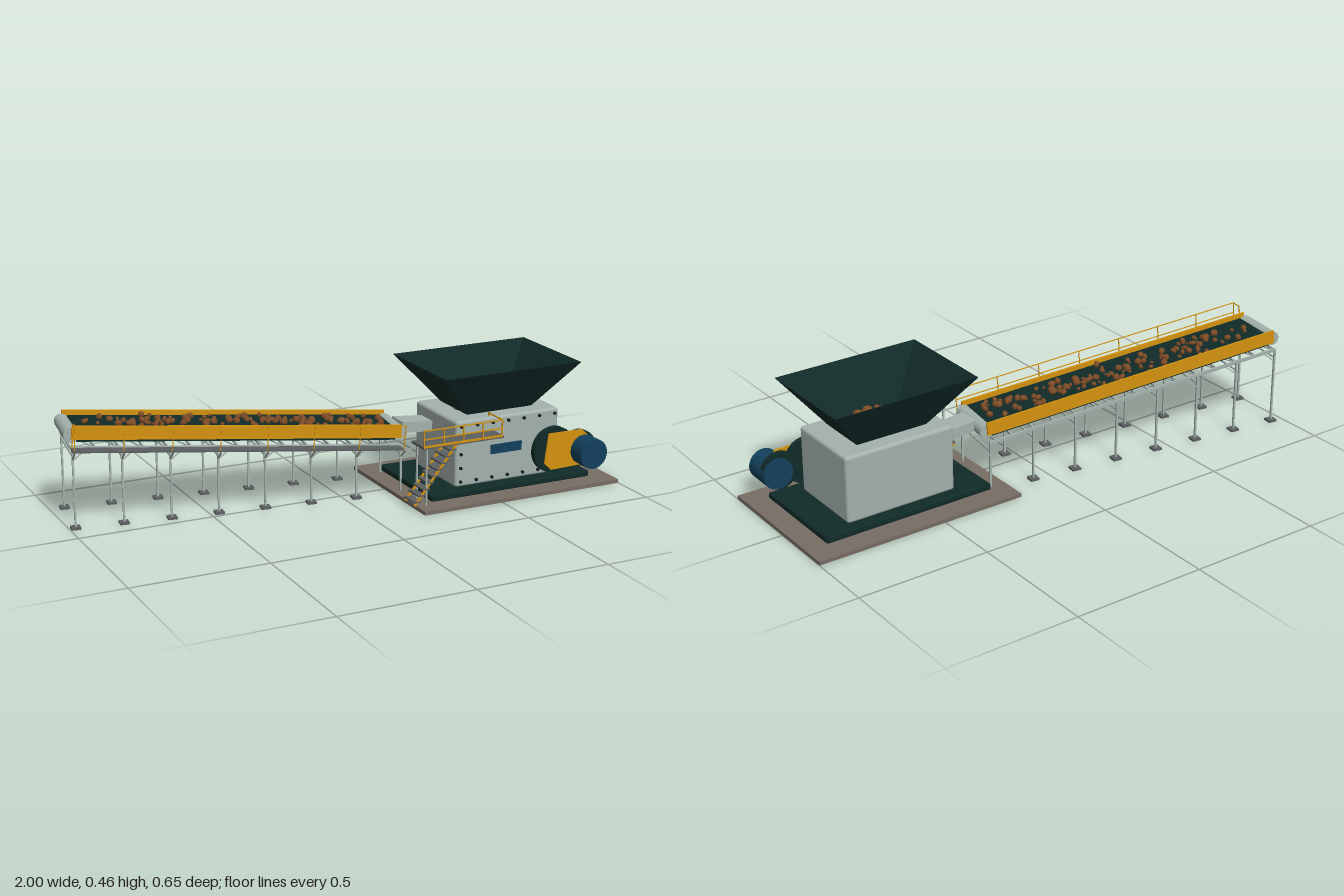
import * as THREE from 'three';
import { RoundedBoxGeometry } from 'three/addons/geometries/RoundedBoxGeometry.js';

export function createModel() {
  const root = new THREE.Group();
  root.name = 'crusherWithConveyor';
  const paint = (name, color, extra = {}) => {
    const m = new THREE.MeshStandardMaterial({ color, ...extra });
    m.name = name;
    return m;
  };
  const steel = paint('paleSteel', 0xa3b1ac);
  const green = paint('darkGreen', 0x112b28, { side: THREE.DoubleSide });
  const yellow = paint('safetyYellow', 0xd4930f);
  const blue = paint('motorBlue', 0x12405c);
  const slab = paint('concrete', 0x776d64);
  const deck = paint('deckGrey', 0x5c5f60);
  const rock = paint('rockBrown', 0x7c4b26, { flatShading: true });
  const dark = paint('boltDark', 0x161c1d);

  let seed = 7;
  const rand = () => (seed = (seed * 16807) % 2147483647) / 2147483647;

  const add = (parent, name, geo, mat, x = 0, y = 0, z = 0) => {
    const m = new THREE.Mesh(geo, mat);
    m.name = name;
    m.position.set(x, y, z);
    parent.add(m);
    return m;
  };
  // box given by its min and max on each axis
  const box = (parent, name, mat, x0, x1, y0, y1, z0, z1) =>
    add(parent, name, new THREE.BoxGeometry(x1 - x0, y1 - y0, z1 - z0), mat,
      (x0 + x1) / 2, (y0 + y1) / 2, (z0 + z1) / 2);
  // square bar between two points
  const bar = (parent, name, mat, a, b, t = 0.006, w = t) => {
    const p = new THREE.Vector3(...a), q = new THREE.Vector3(...b);
    const m = add(parent, name, new THREE.BoxGeometry(t, w, p.distanceTo(q)), mat);
    m.position.copy(p).add(q).multiplyScalar(0.5);
    const rot = new THREE.Object3D();
    rot.position.copy(m.position);
    rot.lookAt(q);
    m.quaternion.copy(rot.quaternion);
    return m;
  };
  const disc = (parent, name, mat, r, z0, z1, x, y, sides = 32) => {
    const m = add(parent, name, new THREE.CylinderGeometry(r, r, z1 - z0, sides), mat, x, y, (z0 + z1) / 2);
    m.rotation.x = Math.PI / 2;
    return m;
  };
  const stone = (parent, r, x, y, z) => {
    const m = add(parent, 'rock', new THREE.IcosahedronGeometry(r, 1), rock, x, y, z);
    m.scale.set(0.8 + rand() * 0.4, 0.7 + rand() * 0.3, 0.8 + rand() * 0.4);
    m.rotation.set(rand() * 3, rand() * 3, rand() * 3);
  };

  // ---- foundation and crusher body
  box(root, 'foundation', slab, 0.18, 1, 0.003, 0.017, -0.25, 0.32);
  add(root, 'plinth', new RoundedBoxGeometry(0.67, 0.023, 0.405, 2, 0.005), green, 0.585, 0.0285, 0.0375);
  add(root, 'body', new RoundedBoxGeometry(0.435, 0.252, 0.31, 4, 0.012), steel, 0.5925, 0.162, 0.035);
  box(root, 'controlPanel', blue, 0.52, 0.65, 0.147, 0.182, 0.188, 0.196);
  for (let i = 0; i < 7; i++)
    for (const y of [0.058, 0.268]) disc(root, 'bolt', dark, 0.006, 0.188, 0.197, 0.395 + i * 0.066, y, 8);
  for (const x of [0.395, 0.79])
    for (const y of [0.11, 0.163, 0.215]) disc(root, 'bolt', dark, 0.006, 0.188, 0.197, x, y, 8);

  // ---- hopper: rectangular funnel lofted through three levels
  const levels = [[0.46, 0.72, -0.05, 0.12, 0.285], [0.45, 0.73, -0.062, 0.13, 0.292], [0.3, 0.868, -0.165, 0.24, 0.467]];
  const ring = ([x0, x1, z0, z1, y]) => [[x0, y, z1], [x1, y, z1], [x1, y, z0], [x0, y, z0]];
  const pos = [];
  for (let l = 0; l < 2; l++) {
    const lo = ring(levels[l]), hi = ring(levels[l + 1]);
    for (let i = 0; i < 4; i++) {
      const j = (i + 1) % 4;
      pos.push(...lo[i], ...lo[j], ...hi[j], ...lo[i], ...hi[j], ...hi[i]);
    }
  }
  const funnel = new THREE.BufferGeometry();
  funnel.setAttribute('position', new THREE.Float32BufferAttribute(pos, 3));
  funnel.computeVertexNormals();
  add(root, 'hopper', funnel, green);
  for (let i = 0; i < 30; i++) {
    const a = i * 0.209 + rand() * 0.3, k = 0.75 + rand() * 0.3;
    stone(root, 0.012 + rand() * 0.01, 0.585 + Math.cos(a) * 0.125 * k, 0.302 + rand() * 0.015, 0.035 + Math.sin(a) * 0.08 * k);
  }

  // ---- drive: pulleys, guard and motor
  disc(root, 'flywheel', green, 0.088, 0.203, 0.226, 0.775, 0.137);
  disc(root, 'motorPulley', green, 0.07, 0.203, 0.226, 0.885, 0.128);
  disc(root, 'shaft', steel, 0.02, 0.185, 0.205, 0.775, 0.137);
  const guard = new THREE.Shape([[0.73, 0.09], [0.76, 0.062], [0.9, 0.066], [0.915, 0.18], [0.89, 0.203], [0.745, 0.205]]
    .map(p => new THREE.Vector2(...p)));
  add(root, 'beltGuard', new THREE.ExtrudeGeometry(guard, { depth: 0.005, bevelEnabled: false }), yellow, 0, 0, 0.225);
  disc(root, 'motor', blue, 0.057, 0.192, 0.301, 0.9, 0.124);

  // ---- access platform, its rail and stairs
  box(root, 'platformDeck', deck, 0.2, 0.53, 0.23, 0.238, 0.175, 0.268);
  for (let i = 0; i < 5; i++) bar(root, 'platformPost', yellow, [0.2 + i * 0.08, 0.236, 0.27], [0.2 + i * 0.08, 0.3, 0.27], 0.004);
  for (const y of [0.3, 0.268]) bar(root, 'platformRail', yellow, [0.198, y, 0.27], [0.522, y, 0.27], 0.004);
  bar(root, 'platformKickboard', yellow, [0.198, 0.24, 0.27], [0.522, 0.24, 0.27], 0.003, 0.008);
  bar(root, 'platformEndRail', yellow, [0.52, 0.3, 0.27], [0.52, 0.3, 0.17], 0.004);
  bar(root, 'platformEndPost', yellow, [0.52, 0.236, 0.172], [0.52, 0.3, 0.172], 0.004);
  for (const z of [0.193, 0.262]) bar(root, 'stairStringer', yellow, [0.168, 0.022, z], [0.335, 0.23, z], 0.005, 0.008);
  for (let i = 0; i < 9; i++) {
    const x = 0.178 + i * 0.0178, y = 0.035 + i * 0.0222;
    box(root, 'stairTread', deck, x - 0.014, x + 0.014, y - 0.003, y + 0.003, 0.19, 0.265);
  }
  for (const z of [0.19, 0.262]) bar(root, 'platformLeg', steel, [0.215, 0.017, z], [0.215, 0.23, z], 0.006);

  // ---- chute between belt and crusher
  bar(root, 'feedChute', steel, [0.25, 0.235, -0.033], [0.39, 0.222, -0.033], 0.085, 0.04);

  // ---- conveyor: yawed group for upright parts, sloped group for the belt
  const L = 1.211, slope = 0.0922;
  const line = new THREE.Group();
  line.name = 'conveyor';
  line.position.set(-0.965, 0, -0.2);
  line.rotation.y = -0.137;
  root.add(line);
  const belt = new THREE.Group();
  belt.name = 'conveyorBed';
  belt.position.y = 0.34;
  belt.rotation.z = -slope;
  line.add(belt);

  box(belt, 'beltTop', green, 0.02, L - 0.02, 0.014, 0.02, -0.094, 0.094);
  box(belt, 'beltReturn', green, 0.02, L - 0.02, -0.022, -0.016, -0.094, 0.094);
  for (const x of [0, L]) disc(belt, 'endRoller', steel, 0.026, -0.094, 0.094, x, 0, 24);
  for (const s of [-1, 1]) {
    bar(belt, 'sidePanel', yellow, [0, 0.012, s * 0.1], [L, 0.012, s * 0.1], 0.007, 0.05);
    bar(belt, 'frameBeam', steel, [0, -0.04, s * 0.108], [L, -0.04, s * 0.108], 0.008, 0.012);
  }
  for (let i = 0; i < 130; i++) {
    const r = 0.005 + rand() * 0.009;
    stone(belt, r, 0.06 + rand() * (L - 0.1), 0.019 + r * 0.6, (rand() + rand() - 1) * 0.085);
  }

  // frame lacing under the belt
  const bay = 0.1716;
  for (let i = 0; i < 14; i++) {
    const x = i * bay / 2;
    bar(belt, 'crossMember', steel, [x, -0.042, -0.108], [x, -0.042, 0.108], 0.007);
    if (i < 13) bar(belt, 'frameDiagonal', steel, [x, -0.042, -0.108], [x + bay / 2, -0.042, 0.108], 0.004);
  }

  // walkway with handrail on the front side
  box(belt, 'walkwayDeck', deck, -0.005, L - 0.01, -0.04, -0.034, 0.125, 0.17);
  for (const y of [0.052, 0.012]) bar(belt, 'walkwayRail', yellow, [0, y, 0.168], [L - 0.01, y, 0.168], 0.003);
  bar(belt, 'walkwayEndRail', yellow, [0, 0.052, 0.168], [0, 0.052, 0.128], 0.003);
  bar(belt, 'walkwayEndPost', yellow, [0, -0.034, 0.128], [0, 0.052, 0.128], 0.003);

  // trestles: legs, feet, braces, brackets and rail posts
  for (let i = 0; i < 8; i++) {
    const x = i * bay, top = 0.34 - 0.04 - x * Math.tan(slope);
    for (const s of [-1, 1]) {
      const z = s * 0.112;
      bar(line, 'leg', steel, [x, 0.012, z], [x, top, z], 0.007);
      if (i < 7) box(line, 'foot', deck, x - 0.017, x + 0.017, 0.006, 0.014, z - 0.017, z + 0.017);
      bar(line, 'kneeBrace', steel, [x, top - 0.045, z], [x + 0.05, top - 0.006, z], 0.004);
    }
    bar(line, 'trestleTie', steel, [x, top - 0.03, -0.112], [x, top - 0.03, 0.112], 0.005);
    bar(line, 'walkwayBracket', steel, [x, top - 0.04, 0.112], [x, top, 0.165], 0.005);
    bar(belt, 'walkwayPost', yellow, [i * bay, -0.036, 0.168], [i * bay, 0.052, 0.168], 0.003);
  }
  return root;
}
